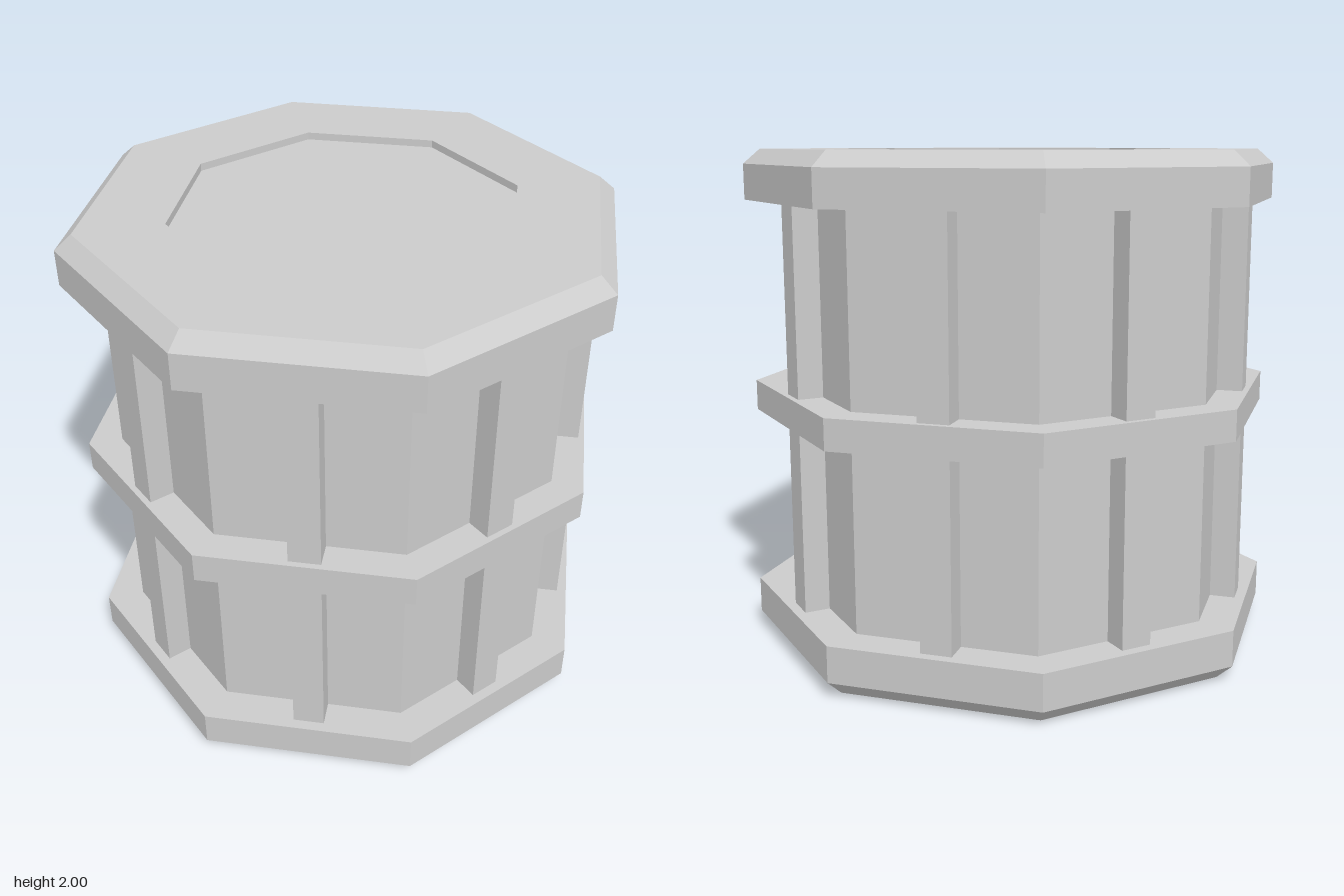
import * as THREE from 'three';

const SIDES = 8;
const material = new THREE.MeshStandardMaterial({ color: 0xcccccc, flatShading: true });

// Octagonal solid from a profile of [apothem, y], listed from bottom to top
function octagon(name, profile) {
  const k = 1 / Math.cos(Math.PI / SIDES);
  const points = profile.map(([a, y]) => new THREE.Vector2(a * k, y));
  const mesh = new THREE.Mesh(new THREE.LatheGeometry(points, SIDES, Math.PI / SIDES), material);
  mesh.name = name;
  return mesh;
}

export function createModel() {
  const barrel = new THREE.Group();
  barrel.name = 'barrel';

  // End caps: chamfered outer rim, shallow octagonal recess in the face
  barrel.add(octagon('bottomCap', [
    [0, 0.03], [0.625, 0.03], [0.625, 0], [0.938, 0], [1, 0.062], [1, 0.207], [0, 0.207],
  ]));
  barrel.add(octagon('topCap', [
    [0, 1.8], [1, 1.8], [1, 1.942], [0.938, 2], [0.625, 2], [0.625, 1.97], [0, 1.97],
  ]));

  // Straight body between the caps
  barrel.add(octagon('body', [[0.86, 0.2], [0.86, 1.81]]));

  // Raised band around the middle
  barrel.add(octagon('middleBand', [
    [0.8, 0.942], [0.983, 0.942], [0.983, 1.064], [0.8, 1.064],
  ]));

  // One upright rib in the middle of every face
  const ribs = new THREE.Group();
  ribs.name = 'ribs';
  const ribGeometry = new THREE.BoxGeometry(0.122, 1.61, 0.16);
  ribGeometry.translate(0, 1.005, 0.88);
  for (let i = 0; i < SIDES; i++) {
    const rib = new THREE.Mesh(ribGeometry, material);
    rib.name = 'rib';
    rib.rotation.y = (i * 2 * Math.PI) / SIDES;
    ribs.add(rib);
  }
  barrel.add(ribs);

  return barrel;
}
